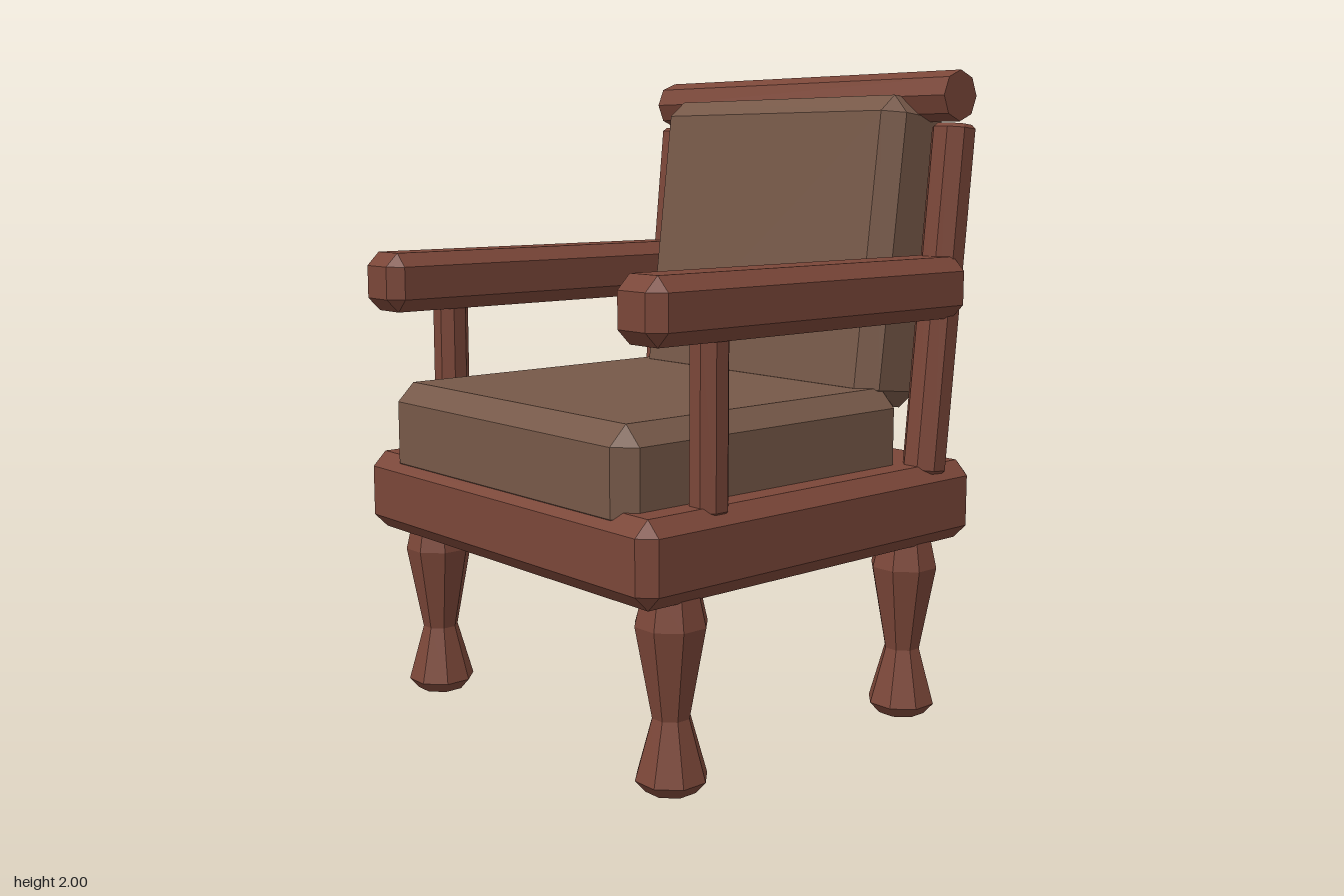
import * as THREE from 'three';
import { ConvexGeometry } from 'three/addons/geometries/ConvexGeometry.js';

// Box with cut edges and corners, centred on the origin
function chamferedBox(w, h, d, c) {
  const points = [];
  const half = [w / 2, h / 2, d / 2];
  for (const sx of [-1, 1]) for (const sy of [-1, 1]) for (const sz of [-1, 1]) {
    const s = [sx, sy, sz];
    for (let axis = 0; axis < 3; axis++) {
      points.push(new THREE.Vector3(...half.map((v, i) => s[i] * (i === axis ? v : v - c))));
    }
  }
  return new ConvexGeometry(points);
}

// Faceted eight-sided turning from [radius, y] pairs; the ends are closed
function turned(profile, phi = Math.PI / 8) {
  const pts = [[0, profile[0][1]], ...profile, [0, profile[profile.length - 1][1]]];
  const geo = new THREE.LatheGeometry(pts.map(p => new THREE.Vector2(...p)), 8, phi).toNonIndexed();
  geo.computeVertexNormals();
  return geo;
}

// Straight eight-sided rod with small bevelled ends, centred on the origin
function rod(r, length, phi) {
  const h = length / 2, b = 0.012;
  return turned([[r - b, -h], [r, -h + b], [r, h - b], [r - b, h]], phi);
}

export function createModel() {
  const model = new THREE.Group();
  model.name = 'armchair';
  const wood = new THREE.MeshStandardMaterial({ color: 0x7a4638 });
  wood.name = 'reddish wood';
  const fabric = new THREE.MeshStandardMaterial({ color: 0x765848 });
  fabric.name = 'brown fabric';

  function add(name, geo, mat, x, y, z) {
    const mesh = new THREE.Mesh(geo, mat);
    mesh.name = name;
    mesh.position.set(x, y, z);
    model.add(mesh);
    return mesh;
  }

  // Seat frame and cushions
  add('seatFrame', chamferedBox(1.4, 0.248, 1.356, 0.045), wood, 0, 0.677, 0.022);
  add('seatCushion', chamferedBox(1.17, 0.31, 1.13, 0.057), fabric, 0, 0.88, 0.115);
  const back = add('backCushion', chamferedBox(1.08, 0.96, 0.277, 0.055), fabric, 0, 1.441, -0.508);
  back.rotation.x = -0.12;

  // Top rail across the back
  const rail = add('topRail', turned([[0.077, -0.655], [0.077, 0.655]], 0), wood, 0, 1.923, -0.587);
  rail.rotation.z = Math.PI / 2;

  const legGeo = turned([[0.075, 0], [0.106, 0.035], [0.056, 0.21], [0.106, 0.475], [0.084, 0.57]]);
  const postGeo = rod(0.068, 1.07);
  const supportGeo = rod(0.057, 0.54);
  const armGeo = chamferedBox(0.196, 0.187, 1.266, 0.042);

  for (const [side, s] of [['left', 1], ['right', -1]]) {
    // Turned legs
    add(side + 'FrontLeg', legGeo, wood, s * 0.58, 0, 0.508);
    add(side + 'BackLeg', legGeo, wood, s * 0.58, 0, -0.46);
    // Leaning back post
    const post = add(side + 'BackPost', postGeo, wood, s * 0.627, 1.305, -0.541);
    post.rotation.x = -0.1;
    // Armrest and its upright
    add(side + 'Armrest', armGeo, wood, s * 0.627, 1.347, 0.053);
    add(side + 'ArmSupport', supportGeo, wood, s * 0.627, 1.045, 0.413);
  }
  return model;
}
